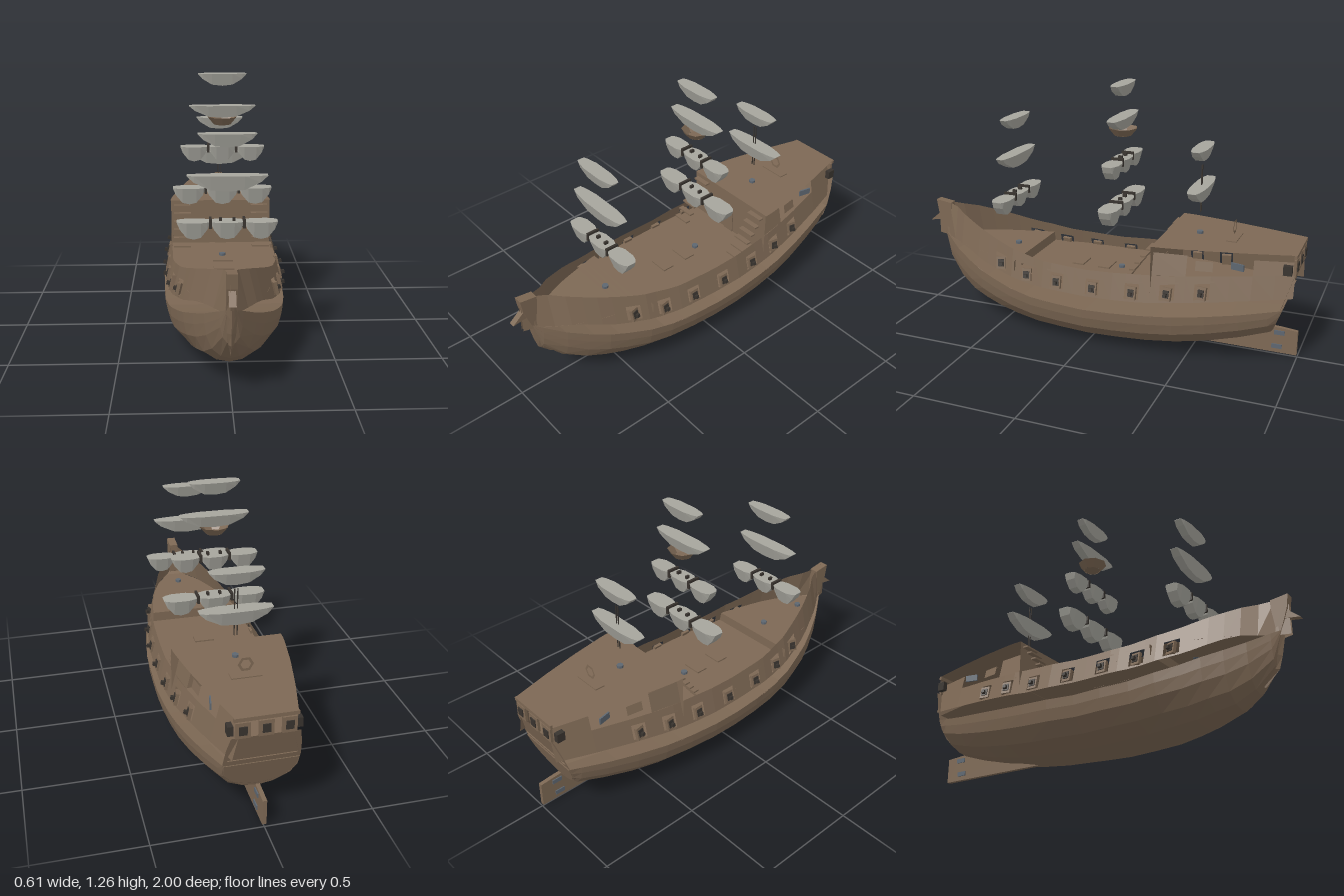
import * as THREE from 'three';

const mat = (name, color, side = THREE.FrontSide) => {
  const m = new THREE.MeshStandardMaterial({ color, flatShading: true, side });
  m.name = name;
  return m;
};

// Linear lookup in a list of [z, value] pairs with falling z
const lookup = (t) => (z) => {
  if (z >= t[0][0]) return t[0][1];
  for (let i = 1; i < t.length; i++) {
    const [a, va] = t[i - 1], [b, vb] = t[i];
    if (z >= b) return va + (vb - va) * (a - z) / (a - b);
  }
  return t[t.length - 1][1];
};

// Hull lines: half beam, lower shell top and keel, upper band top and bottom
const beam = lookup([[0.95, 0.012], [0.91, 0.02], [0.85, 0.065], [0.75, 0.13], [0.6, 0.2], [0.4, 0.26], [0.2, 0.29], [-0.15, 0.3], [-0.4, 0.285], [-0.6, 0.25], [-0.8, 0.205], [-0.99, 0.155]]);
const sheer = lookup([[0.91, 0.41], [0.75, 0.335], [0.54, 0.27], [0.31, 0.222], [0, 0.208], [-0.39, 0.228], [-0.71, 0.265], [-0.94, 0.305]]);
const keel = lookup([[0.91, 0.4], [0.87, 0.245], [0.78, 0.145], [0.69, 0.09], [0.51, 0.045], [0.28, 0.015], [0, 0.005], [-0.38, 0.02], [-0.67, 0.07], [-0.88, 0.14], [-0.94, 0.16]]);
const bandTop = lookup([[0.95, 0.577], [0.8, 0.55], [0.65, 0.505], [0.465, 0.45], [0.25, 0.41], [0, 0.4], [-0.28, 0.415], [-0.5, 0.43], [-0.8, 0.455], [-0.985, 0.47]]);
const bandLow = lookup([[0.9, 0.388], [0.73, 0.385], [0.54, 0.325], [0.31, 0.285], [0, 0.275], [-0.28, 0.285], [-0.6, 0.32], [-0.985, 0.363]]);
// Upper sides lean inward above the wale
const sideX = (y, z) => Math.max(0.008, beam(z) - 0.012 - 0.24 * Math.max(0, y - bandLow(z)));

// Surface through rows of points
function surface(rows) {
  const pos = rows.flat(2), idx = [], n = rows[0].length;
  for (let i = 0; i + 1 < rows.length; i++)
    for (let j = 0; j + 1 < n; j++) {
      const a = i * n + j, b = a + n;
      idx.push(a, a + 1, b, a + 1, b + 1, b);
    }
  const g = new THREE.BufferGeometry();
  g.setAttribute('position', new THREE.Float32BufferAttribute(pos, 3));
  g.setIndex(idx);
  const flat = g.toNonIndexed();
  flat.computeVertexNormals();
  return flat;
}
const span = (a, b, n) => Array.from({ length: n + 1 }, (_, i) => a + (b - a) * i / n);

export function createModel() {
  const ship = new THREE.Group();
  ship.name = 'sailingShip';
  const wood = mat('wood', 0x7d6854, THREE.DoubleSide);
  const sailCloth = mat('sailCloth', 0xa6a59d);
  const dark = mat('darkFittings', 0x38332e, THREE.DoubleSide);
  const metal = mat('metal', 0x5d6670, THREE.DoubleSide);
  const add = (name, geo, m = wood, x = 0, y = 0, z = 0, parent = ship) => {
    const mesh = new THREE.Mesh(geo, m);
    mesh.name = name;
    mesh.position.set(x, y, z);
    parent.add(mesh);
    return mesh;
  };
  const box = (name, w, h, d, x, y, z, m = wood, parent = ship) =>
    add(name, new THREE.BoxGeometry(w, h, d), m, x, y, z, parent);

  // Lower hull shell
  const half = [[1, 1], [0.985, 0.78], [0.93, 0.52], [0.72, 0.22], [0.36, 0.05], [0, 0]];
  const section = [...half, ...half.slice(0, -1).reverse().map(([w, h]) => [-w, h])];
  const stations = [0.91, 0.87, 0.78, 0.69, 0.6, 0.51, 0.4, 0.28, 0.14, 0, -0.15, -0.3, -0.45, -0.6, -0.75, -0.88, -0.94];
  add('lowerHull', surface(stations.map((z) => section.map(([w, h]) => {
    const low = keel(z), y = low + (sheer(z) - low) * h;
    const rake = z < -0.9 ? (1 - h) * 0.05 : 0;
    return [beam(z) * w, y, z + rake];
  }))));

  // Decks: flat or sheered sheets across the hull
  const deck = (name, from, to, width, height) => add(name, surface(span(from, to, 16).map((z) =>
    [[-width(z), height(z), z], [width(z), height(z), z]])));
  deck('lowerDeck', 0.9, -0.94, (z) => beam(z) * 0.995, (z) => sheer(z) - 0.002);
  deck('mainDeck', 0.38, -0.95, (z) => sideX(0.335, z), () => 0.335);
  deck('foreDeck', 0.88, 0.38, (z) => sideX(0.385, z), () => 0.385);
  deck('poopDeck', -0.34, -0.99, (z) => beam(z) - 0.02, () => 0.57);
  add('foreDeckStep', new THREE.PlaneGeometry(0.5, 0.05), wood, 0, 0.36, 0.38);

  // Upper hull sides with gun ports, mirrored
  const ports = [0.47, 0.31, 0.14, -0.05, -0.25, -0.42, -0.58];
  const pw = 0.035;
  const cuts = [...span(0.95, 0.56, 6), 0.4, 0.22, 0.05, -0.15, -0.34, -0.5, -0.7, -0.8, -0.9, -0.985,
    ...ports.flatMap((z) => [z + pw, z - pw])].sort((a, b) => b - a);
  for (const s of [1, -1]) {
    const strip = (name, a, b, lo, hi, out = 0) => add(name, surface([a, b].map((z) =>
      [lo(z), hi(z)].map((y) => [s * (sideX(y, z) + out), y, z]))));
    for (let i = 0; i + 1 < cuts.length; i++) {
      const a = cuts[i], b = cuts[i + 1], mid = (a + b) / 2;
      if (a - b < 1e-4) continue;
      if (ports.some((p) => Math.abs(p - mid) < pw)) {
        strip('portSill', a, b, bandLow, (z) => bandLow(z) + 0.012);
        strip('portHeader', a, b, (z) => bandLow(z) + 0.085, bandTop);
      } else strip('upperHull', a, b, bandLow, bandTop);
    }

    // Gun port lids, muzzles and rails
    for (const z of ports) {
      const y = bandLow(z) + 0.042, x = sideX(y, z);
      const gun = new THREE.Group();
      gun.name = 'gunPort';
      gun.position.set(s * x, y, z);
      gun.rotation.order = 'YXZ';
      gun.rotation.y = s * Math.atan2(beam(z - 0.03) - beam(z + 0.03), 0.06);
      gun.rotation.z = s * 0.22;
      ship.add(gun);
      box('portFrame', 0.016, 0.062, 0.046, 0, 0, 0, wood, gun);
      box('portOpening', 0.006, 0.036, 0.03, s * 0.009, 0, 0, dark, gun);
      box('cannonMuzzle', 0.03, 0.016, 0.016, s * 0.012, -0.004, 0, dark, gun);
      strip('portRail', z + 0.055, z - 0.055, (q) => bandLow(q) + 0.09, (q) => bandLow(q) + 0.097, 0.004);
    }

    // Cabin sides beneath the poop deck
    const cabin = (a, b, lo, hi) => strip('cabinSide', a, b, lo, () => hi);
    cabin(-0.34, -0.5, bandTop, 0.526);
    cabin(-0.8, -0.985, bandTop, 0.526);
    cabin(-0.54, -0.62, () => 0.46, 0.505);
    const glass = (z, w, m) => {
      const p = box('cabinWindow', 0.008, 0.032, w, s * (sideX(0.49, z) + 0.002), 0.492, z, m);
      p.rotation.y = s * Math.atan2(beam(z - 0.03) - beam(z + 0.03), 0.06);
    };
    glass(-0.73, 0.064, metal);
    box('sternLantern', 0.025, 0.045, 0.04, s * 0.15, 0.5, -0.955, dark);

    // Stairs up to the poop deck
    for (let i = 0; i < 6; i++)
      box('stairTread', 0.09, 0.008, 0.027, s * 0.205, 0.36 + i * 0.037, -0.19 - i * 0.027);
  }

  // Cabin front wall and door
  add('cabinFront', new THREE.PlaneGeometry(0.53, 0.236), wood, 0, 0.452, -0.34);
  box('cabinDoor', 0.06, 0.12, 0.006, 0, 0.395, -0.338);

  // Slanted transom
  const transom = [[0.145, 0.02], [0.16, 0.075], [0.2, 0.14], [0.25, 0.168], [0.32, 0.172], [0.4, 0.165], [0.472, 0.15]];
  add('transom', surface(transom.map(([y, w]) => {
    const z = -0.885 - (y - 0.145) * 0.31;
    return [[w, y, z], [-w, y, z]];
  })));
  for (const x of [-0.1, 0, 0.1]) {
    box('sternWindowFrame', 0.065, 0.075, 0.012, x, 0.507, -0.984);
    box('sternWindow', 0.035, 0.04, 0.006, x, 0.507, -0.992, dark);
  }
  box('sternLintel', 0.28, 0.018, 0.012, 0, 0.56, -0.985);

  // Skeg and rudder with hinges
  const profile = (pts, t) => new THREE.ExtrudeGeometry(
    new THREE.Shape(pts.map(([z, y]) => new THREE.Vector2(-z, y))), { depth: t, bevelEnabled: false })
    .translate(0, 0, -t / 2).rotateY(Math.PI / 2);
  add('rudder', profile([[-0.4, 0.017], [-0.998, 0.017], [-0.998, 0.14], [-0.92, 0.147], [-0.86, 0.15], [-0.67, 0.08]], 0.02));
  for (const [z, y] of [[-0.912, 0.122], [-0.902, 0.05]])
    box('rudderHinge', 0.03, 0.022, 0.05, 0, y, z, metal);

  // Stem, beak and forked cutwater
  add('stem', profile([[0.955, 0.577], [0.945, 0.51], [0.925, 0.45], [0.9, 0.385], [0.87, 0.4], [0.87, 0.565]], 0.045));
  add('beak', profile([[0.935, 0.51], [1, 0.455], [0.925, 0.465]], 0.03));
  add('cutwater', surface([[0.41, 0.918, 0.025], [0.3, 0.895, 0.02], [0.24, 0.877, 0.012], [0.17, 0.81, 0.003]]
    .map(([y, z, w]) => [[-w, y, z - 0.012], [0, y, z + 0.004], [w, y, z - 0.012]])));

  // Furled sails: lofted along the yard, single or in three lobes
  const lobe = [[-1, 0.02, 0.5], [-0.82, 0.42, 0.75], [-0.42, 0.9, 1], [0, 1, 1], [0.42, 0.9, 1], [0.82, 0.42, 0.75], [1, 0.02, 0.5]];
  const bundle = (w, h, d) => {
    const rows = lobe.map(([u, k, f]) => {
      const t = d * f, b = t * (1 - 0.5 * k), x = u * w, y = -h * k;
      return [[x, 0, t], [x, 0, -t], [x, y, -b], [x, y, b], [x, 0, t]];
    });
    const cap = (r) => [r[0], r[1], r[2], r[3]];
    return [surface(rows), surface([[cap(rows[0])[0], cap(rows[0])[3]], [cap(rows[0])[1], cap(rows[0])[2]]]),
      surface([[cap(rows[6])[1], cap(rows[6])[2]], [cap(rows[6])[0], cap(rows[6])[3]]])];
  };
  // z, top, half width, height, half depth, lobes
  const sails = [
    [0.48, 1.065, 0.13, 0.06, 0.035, 1], [0.48, 0.88, 0.18, 0.072, 0.037, 1], [0.48, 0.672, 0.225, 0.08, 0.044, 3],
    [-0.1, 1.27, 0.12, 0.06, 0.035, 1], [-0.1, 1.112, 0.165, 0.06, 0.038, 1], [-0.1, 0.908, 0.21, 0.075, 0.042, 3],
    [-0.1, 0.697, 0.25, 0.085, 0.047, 3], [-0.5, 0.997, 0.125, 0.062, 0.037, 1], [-0.5, 0.812, 0.17, 0.072, 0.04, 1],
  ];
  sailCloth.side = THREE.DoubleSide;
  for (const [z, top, w, h, d, lobes] of sails) {
    for (let i = 0; i < lobes; i++) {
      const lw = w / lobes, x = (i - (lobes - 1) / 2) * 2 * lw;
      for (const g of bundle(lw, h, d)) add('furledSail', g, sailCloth, x, top, z);
    }
    if (lobes === 3) for (const s of [-1, 1]) {
      box('sailStrap', 0.012, 0.04, d * 1.5, s * w / 3, top - 0.008, z, dark);
      box('sailCleat', 0.012, 0.016, 0.02, s * 0.03, top + 0.006, z, dark);
    }
  }

  // Crow's nest and mizzen rods
  add('crowsNest', new THREE.CylinderGeometry(0.073, 0.042, 0.038, 8, 1, true), wood, 0, 1.036, -0.1);
  add('crowsNestFloor', new THREE.CircleGeometry(0.042, 8).rotateX(-Math.PI / 2).rotateY(Math.PI / 8), wood, 0, 1.018, -0.1);
  for (const x of [-0.007, 0.007]) box('mizzenRod', 0.004, 0.23, 0.004, x, 0.795, -0.5, dark);

  // Deck fittings: mast collars, steering wheel and hatch
  for (const [z, y] of [[0.75, 0.385], [0.48, 0.385], [-0.1, 0.335], [-0.5, 0.57]])
    add('mastCollar', new THREE.CylinderGeometry(0.016, 0.016, 0.014, 8), metal, 0, y + 0.006, z);
  add('steeringWheel', new THREE.RingGeometry(0.024, 0.037, 6), wood, 0, 0.625, -0.67);
  box('wheelPlatform', 0.14, 0.006, 0.05, 0, 0.572, -0.67);
  for (const z of [-0.02, 0.12]) box('deckHatch', 0.1, 0.008, 0.06, 0, 0.338, z);

  return ship;
}
